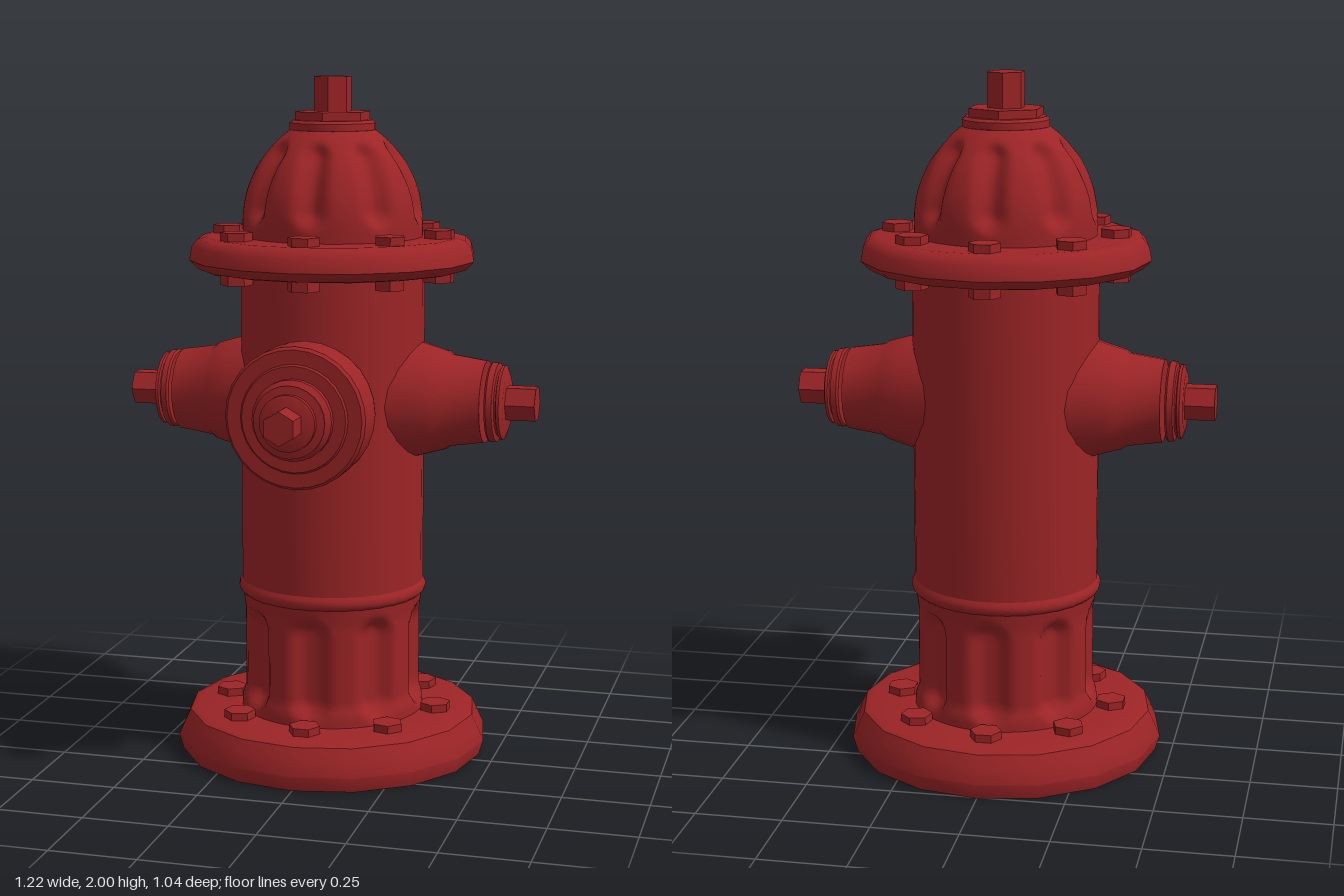
import * as THREE from 'three';
import { toCreasedNormals } from 'three/addons/utils/BufferGeometryUtils.js';

const paint = new THREE.MeshStandardMaterial({ color: 0x9c2426, side: THREE.DoubleSide });
paint.name = 'hydrant red';

const AXIS_Z = -0.055;   // the barrel's axis sits behind the centre
const NOZZLE_Y = 1.07;

function mesh(name, geometry, crease = 0.6) {
  const m = new THREE.Mesh(toCreasedNormals(geometry, crease), paint);
  m.name = name;
  return m;
}

function latheGeo(profile, sides) {
  return new THREE.LatheGeometry(profile.map(([r, y]) => new THREE.Vector2(r, y)), sides);
}

// Hexagonal prism standing on y
function hex(name, radius, y0, y1) {
  const m = mesh(name, new THREE.CylinderGeometry(radius, radius, y1 - y0, 6), 0.3);
  m.position.y = (y0 + y1) / 2;
  return m;
}

// Lathe whose surface is pressed in along eight vertical grooves.
// A groove is a capsule: straight from y0 to y1 with rounded ends.
function fluted(name, points, { y0, y1, half, depth, soft }) {
  const geo = new THREE.LatheGeometry(points, 96);
  const p = geo.attributes.position;
  const step = Math.PI / 4;
  for (let i = 0; i < p.count; i++) {
    const x = p.getX(i), y = p.getY(i), z = p.getZ(i);
    const r = Math.hypot(x, z);
    const a = Math.atan2(x, z);
    const across = (a - Math.round(a / step) * step) * r;
    const along = Math.max(0, y0 - y, y - y1);
    const q = Math.hypot(across, along) / half;
    const k = 1 - depth * (1 - THREE.MathUtils.smoothstep(q, soft, 1)) / r;
    p.setXYZ(i, x * k, y, z * k);
  }
  return mesh(name, geo, 0.9);
}

// Resample straight profile lines so grooves have rows to bend
function dense(profile, gap) {
  const out = [];
  for (let i = 0; i < profile.length - 1; i++) {
    const a = new THREE.Vector2(...profile[i]), b = new THREE.Vector2(...profile[i + 1]);
    const n = Math.max(1, Math.round(a.distanceTo(b) / gap));
    for (let j = 0; j < n; j++) out.push(a.clone().lerp(b, j / n));
  }
  out.push(new THREE.Vector2(...profile[profile.length - 1]));
  return out;
}

function boltRing(name, y0, y1) {
  const ring = new THREE.Group();
  ring.name = name;
  for (let i = 0; i < 8; i++) {
    const a = (i * Math.PI) / 4;
    const bolt = hex('bolt', 0.046, y0, y1);
    bolt.position.x = 0.317 * Math.sin(a);
    bolt.position.z = 0.317 * Math.cos(a);
    bolt.rotation.y = a + Math.PI / 6;
    ring.add(bolt);
  }
  return ring;
}

// Side outlet, built along y and turned outwards
function sideNozzle(name, sign) {
  const g = new THREE.Group();
  g.name = name;
  g.add(
    mesh('spout', latheGeo([[0.18, 0.2], [0.17, 0.26], [0.158, 0.3], [0.145, 0.345], [0.135, 0.36],
      [0.12, 0.462], [0, 0.462]], 20)),
    mesh('spoutCap', latheGeo([[0, 0.474], [0.112, 0.474], [0.117, 0.48], [0.115, 0.497], [0.098, 0.5],
      [0.098, 0.505], [0.108, 0.508], [0.108, 0.516], [0.085, 0.524], [0, 0.524]], 20)),
    hex('capNut', 0.054, 0.52, 0.61),
  );
  g.rotation.z = -sign * Math.PI / 2;
  g.position.y = NOZZLE_Y;
  return g;
}

// Large front outlet; its local y is the distance from the barrel axis
function frontNozzle() {
  const g = new THREE.Group();
  g.name = 'frontNozzle';
  g.add(
    mesh('collar', latheGeo([[0.165, 0.18], [0.17, 0.255], [0.2, 0.285], [0.203, 0.3], [0.203, 0.41],
      [0.195, 0.42], [0.155, 0.42], [0.15, 0.426], [0, 0.426]], 28)),
    mesh('collarCap', latheGeo([[0.115, 0.42], [0.115, 0.445], [0.105, 0.455], [0.1, 0.46], [0.103, 0.472],
      [0.08, 0.476], [0.08, 0.492], [0.07, 0.496], [0, 0.496]], 24)),
    hex('capNut', 0.048, 0.49, 0.573),
  );
  g.rotation.x = Math.PI / 2;
  g.position.y = NOZZLE_Y;
  return g;
}

export function createModel() {
  const model = new THREE.Group();
  model.name = 'fireHydrant';
  const body = new THREE.Group();
  body.name = 'hydrantBody';
  body.position.z = AXIS_Z;
  model.add(body);

  // Hollow base flange, open below
  body.add(mesh('baseFlange', latheGeo([[0.452, 0], [0.465, 0.045], [0.445, 0.09], [0.43, 0.122],
    [0.41, 0.13], [0.255, 0.13]], 16), 0.7));
  body.add(boltRing('baseBolts', 0.12, 0.153));

  // Grooved lower barrel
  body.add(fluted('lowerBarrel',
    dense([[0.272, 0.13], [0.27, 0.16], [0.26, 0.19], [0.26, 0.43], [0.268, 0.49]], 0.014),
    { y0: 0.2, y1: 0.39, half: 0.066, depth: 0.034, soft: 0.35 }));

  // Bead and plain upper barrel
  body.add(mesh('barrelBead', latheGeo([[0.266, 0.48], [0.277, 0.49], [0.28, 0.502], [0.277, 0.512],
    [0.268, 0.525]], 32)));
  body.add(mesh('barrel', latheGeo([[0.27, 0.515], [0.27, 1.46]], 32)));

  // Bonnet flange with bolts above and below
  body.add(mesh('bonnetFlange', latheGeo([[0.25, 1.445], [0.37, 1.445], [0.395, 1.45], [0.42, 1.475],
    [0.412, 1.515], [0.395, 1.535], [0.37, 1.542], [0.25, 1.542]], 16), 0.7));
  body.add(boltRing('upperBolts', 1.53, 1.566));
  body.add(boltRing('lowerBolts', 1.415, 1.45));

  // Grooved dome
  const dome = new THREE.SplineCurve([[0.262, 1.54], [0.261, 1.61], [0.247, 1.68], [0.212, 1.755],
    [0.162, 1.815], [0.118, 1.852]].map(([r, y]) => new THREE.Vector2(r, y)));
  body.add(fluted('dome', dome.getPoints(28),
    { y0: 1.63, y1: 1.77, half: 0.058, depth: 0.036, soft: 0.1 }));

  // Dome cap and operating nut
  body.add(mesh('domeCap', latheGeo([[0.115, 1.84], [0.125, 1.848], [0.125, 1.868], [0.115, 1.876],
    [0, 1.876]], 24)));
  body.add(hex('capHex', 0.112, 1.87, 1.9));
  body.add(hex('operatingNut', 0.056, 1.895, 2.0));

  // Outlets
  body.add(sideNozzle('leftNozzle', 1), sideNozzle('rightNozzle', -1), frontNozzle());
  return model;
}
